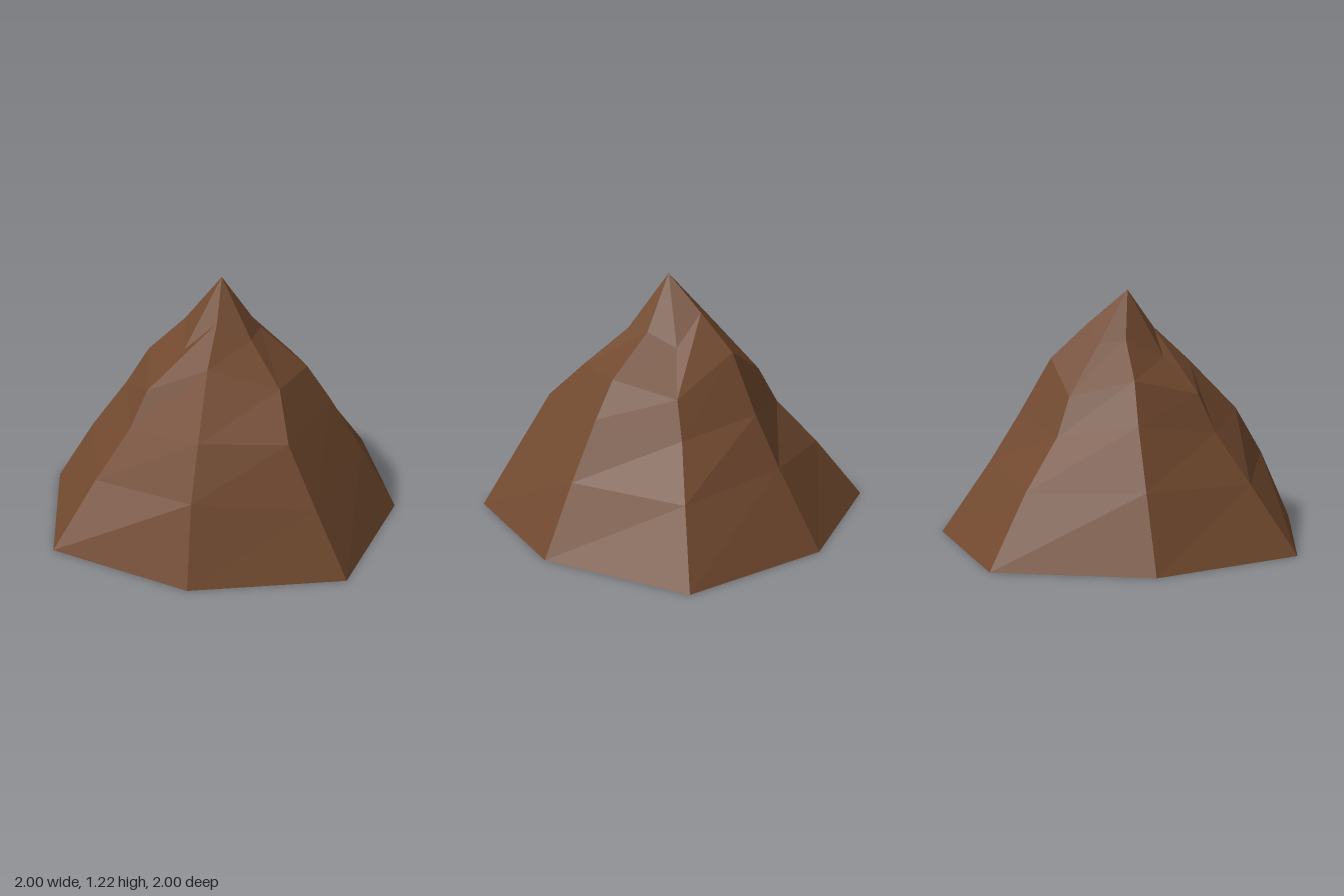
import * as THREE from 'three';

// Each ridge runs from the foot up to just below the peak, as [x, y, z].
const RIDGES = [
  [[-0.15, 0, -1], [-0.11, 0.31, -0.75], [-0.09, 0.54, -0.53], [-0.07, 0.72, -0.43], [-0.05, 0.96, -0.21]],
  [[0.55, 0, -0.74], [0.4, 0.36, -0.54], [0.31, 0.6, -0.42], [0.2, 0.88, -0.3], [0.1, 1.05, -0.14]],
  [[1, 0, -0.15], [0.75, 0.31, -0.11], [0.54, 0.54, -0.08], [0.44, 0.71, -0.05], [0.22, 0.9, -0.03]],
  [[0.74, 0, 0.55], [0.58, 0.33, 0.44], [0.44, 0.6, 0.34], [0.34, 0.77, 0.27], [0.15, 0.96, 0.12]],
  [[0.15, 0, 1], [0.08, 0.3, 0.82], [0.02, 0.58, 0.65], [0.08, 0.77, 0.45], [0.04, 0.95, 0.23]],
  [[-0.55, 0, 0.74], [-0.46, 0.36, 0.6], [-0.37, 0.6, 0.49], [-0.22, 0.86, 0.28], [-0.1, 1.03, 0.14]],
  [[-1, 0, 0.15], [-0.75, 0.31, 0.11], [-0.55, 0.54, 0.09], [-0.45, 0.72, 0.08], [-0.24, 0.89, 0.06]],
  [[-0.74, 0, -0.55], [-0.57, 0.33, -0.43], [-0.41, 0.6, -0.31], [-0.31, 0.8, -0.23], [-0.15, 0.98, -0.12]],
];
const PEAK = [-0.02, 1.22, 0.03];
const FOOT_CENTRE = [0, 0, 0];

function faceted(triangles) {
  const geometry = new THREE.BufferGeometry();
  geometry.setAttribute('position', new THREE.Float32BufferAttribute(triangles.flat(2), 3));
  geometry.computeVertexNormals();
  return geometry;
}

export function createModel() {
  const group = new THREE.Group();
  group.name = 'mountain';
  const earth = new THREE.MeshStandardMaterial({ color: 0x70482e, flatShading: true });

  const slopes = [];
  const underside = [];
  RIDGES.forEach((ridge, i) => {
    const next = RIDGES[(i + 1) % RIDGES.length];
    const last = ridge.length - 1;
    // Faces between neighbouring ridges
    for (let j = 0; j < last; j++) {
      slopes.push([ridge[j], ridge[j + 1], next[j]]);
      slopes.push([next[j], ridge[j + 1], next[j + 1]]);
    }
    // Cap facet at the summit and wedge of the flat bottom
    slopes.push([ridge[last], PEAK, next[last]]);
    underside.push([FOOT_CENTRE, ridge[0], next[0]]);
  });

  for (const [name, triangles] of [['slopes', slopes], ['underside', underside]]) {
    const mesh = new THREE.Mesh(faceted(triangles), earth);
    mesh.name = name;
    group.add(mesh);
  }
  return group;
}
